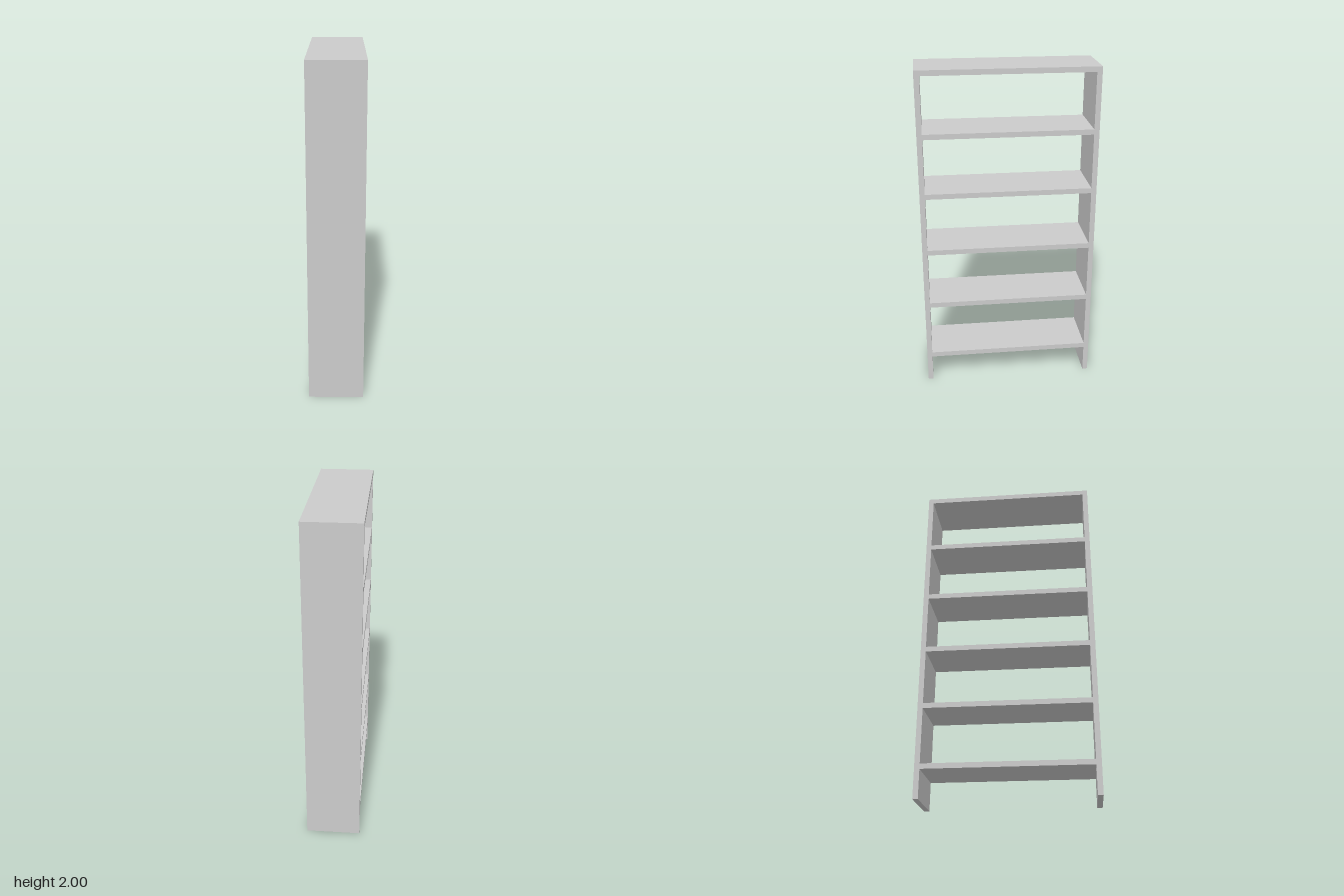
import * as THREE from 'three';

const DEPTH = 0.325;   // along x
const WIDTH = 1.046;   // along z
const HEIGHT = 2;
const BOARD = 0.031;   // board thickness
const SHELVES = 6;     // including the top board
const SPACING = 0.36;

export function createModel() {
  const group = new THREE.Group();
  group.name = 'bookcase';
  const material = new THREE.MeshStandardMaterial({ color: 0xcccccc });

  const addBoard = (name, height, width, y, z) => {
    const mesh = new THREE.Mesh(new THREE.BoxGeometry(DEPTH, height, width), material);
    mesh.name = name;
    mesh.position.set(0, y, z);
    group.add(mesh);
  };

  // Upright side panels, full height
  for (const side of [1, -1]) {
    addBoard(side > 0 ? 'frontSidePanel' : 'backSidePanel',
      HEIGHT, BOARD, HEIGHT / 2, side * (WIDTH - BOARD) / 2);
  }

  // Top board and evenly spaced shelves, fitted between the panels
  for (let i = 0; i < SHELVES; i++) {
    addBoard(i === 0 ? 'topBoard' : `shelf${i}`,
      BOARD, WIDTH - 2 * BOARD, HEIGHT - BOARD / 2 - i * SPACING, 0);
  }

  return group;
}
